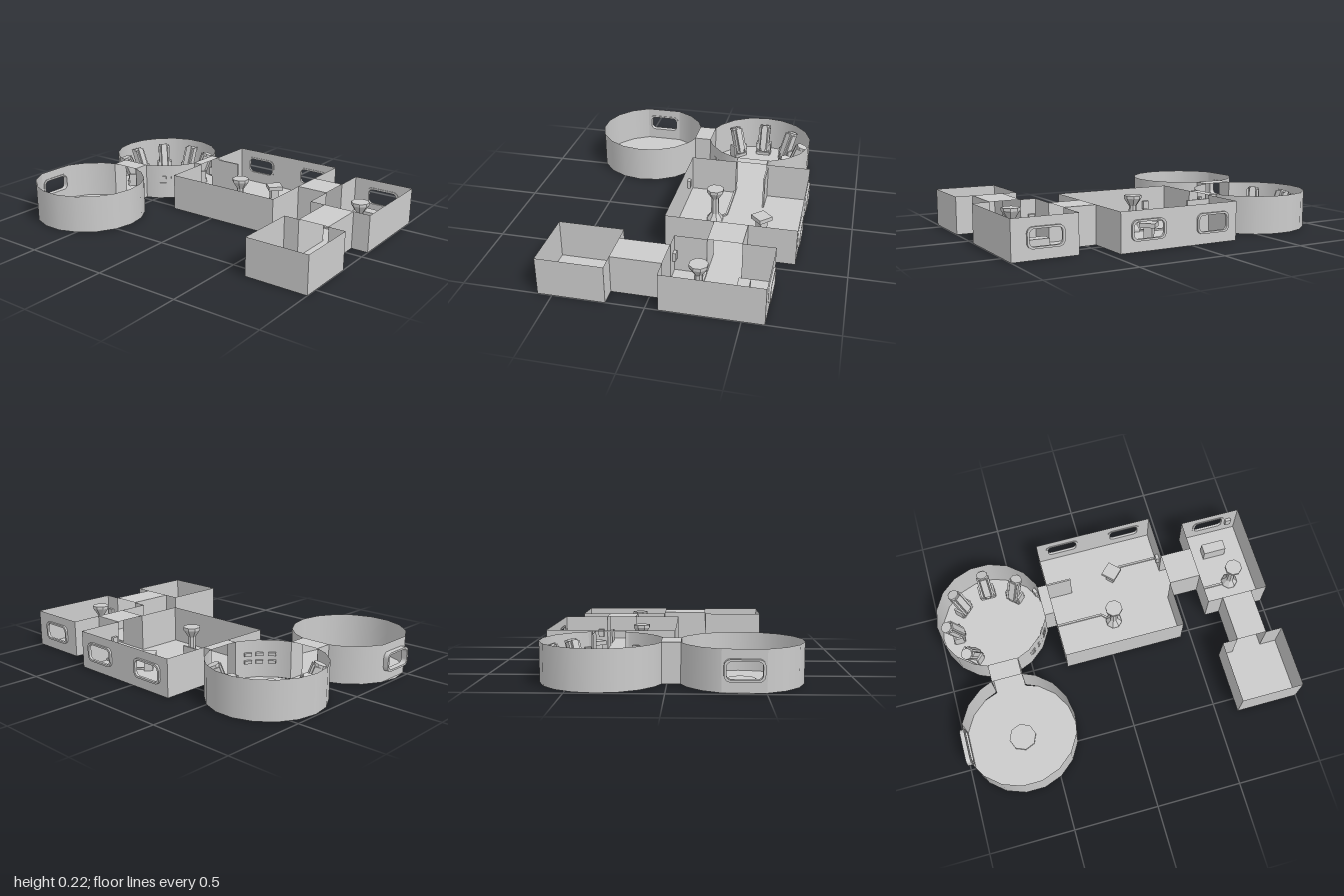
import * as THREE from 'three';

const H = 0.22, R = 0.33, RAD = Math.PI / 180;
const mat = new THREE.MeshStandardMaterial({ color: 0xcccccc, side: THREE.DoubleSide });
const flat = new THREE.MeshStandardMaterial({ color: 0xcccccc, side: THREE.DoubleSide, flatShading: true });

function add(parent, name, geo, x = 0, y = 0, z = 0, material = mat) {
  const m = new THREE.Mesh(geo, material);
  m.name = name;
  m.position.set(x, y, z);
  parent.add(m);
  return m;
}

// Rounded rectangle centred on (cx, cy)
function roundRect(C, cx, cy, w, h, r) {
  const p = new C(), a = w / 2 - r, b = h / 2 - r;
  p.absarc(cx + a, cy + b, r, 0, Math.PI / 2);
  p.absarc(cx - a, cy + b, r, Math.PI / 2, Math.PI);
  p.absarc(cx - a, cy - b, r, Math.PI, Math.PI * 1.5);
  p.absarc(cx + a, cy - b, r, Math.PI * 1.5, Math.PI * 2);
  p.closePath();
  return p;
}

// Thin upright wall between two floor points; windows are distances along it
function wall(parent, x0, z0, x1, z1, windows = [], depth = 0.012) {
  const g = new THREE.Group();
  g.name = 'wall';
  g.position.set(x0, 0, z0);
  g.rotation.y = -Math.atan2(z1 - z0, x1 - x0);
  parent.add(g);
  const L = Math.hypot(x1 - x0, z1 - z0);
  const s = new THREE.Shape([[0, 0], [L, 0], [L, H], [0, H]].map(p => new THREE.Vector2(...p)));
  for (const u of windows) {
    s.holes.push(roundRect(THREE.Path, u, 0.115, 0.18, 0.09, 0.025));
    const ring = roundRect(THREE.Shape, u, 0.115, 0.205, 0.112, 0.032);
    ring.holes.push(roundRect(THREE.Path, u, 0.115, 0.18, 0.09, 0.025));
    const geo = new THREE.ExtrudeGeometry(ring, { depth: depth + 0.004, bevelEnabled: false, curveSegments: 5 });
    add(g, 'windowFrame', geo, 0, 0, -0.004);
  }
  add(g, 'wallPanel', new THREE.ShapeGeometry(s, 5));
}

// Horizontal sheet
function sheet(parent, name, x0, x1, z0, z1, y) {
  const geo = new THREE.PlaneGeometry(x1 - x0, z1 - z0).rotateX(-Math.PI / 2);
  add(parent, name, geo, (x0 + x1) / 2, y, (z0 + z1) / 2);
}

function group(root, name) {
  const g = new THREE.Group();
  g.name = name;
  root.add(g);
  return g;
}

// Roofed passage, open at the two ends
function corridor(root, x0, x1, z0, z1, alongX) {
  const g = group(root, 'corridor');
  sheet(g, 'corridorFloor', x0, x1, z0, z1, 0);
  sheet(g, 'corridorRoof', x0, x1, z0, z1, H);
  if (alongX) for (const z of [z0, z1]) wall(g, x0, z, x1, z);
  else for (const x of [x0, x1]) wall(g, x, z0, x, z1);
}

// Round room: floor plus wall arcs in degrees measured from +z towards +x
function roundRoom(root, name, cx, cz, arcs) {
  const g = group(root, name);
  add(g, 'roundFloor', new THREE.CircleGeometry(R, 18).rotateX(-Math.PI / 2), cx, 0, cz);
  for (const [a, b] of arcs) {
    const n = Math.max(1, Math.round((b - a) / 20));
    const geo = new THREE.CylinderGeometry(R, R, H, n, 1, true, a * RAD, (b - a) * RAD);
    add(g, 'curvedWall', geo, cx, H / 2, cz);
  }
  return g;
}

// Octagonal column flared at foot and head
function pillar(parent, x, z) {
  const pts = [[0, 0], [0.05, 0], [0.05, 0.015], [0.025, 0.05], [0.022, 0.15], [0.052, 0.195], [0.052, 0.212], [0, 0.212]];
  const geo = new THREE.LatheGeometry(pts.map(p => new THREE.Vector2(...p)), 8).rotateY(Math.PI / 8);
  add(parent, 'pillar', geo, x, 0, z, flat);
}

// Floor cable laid along a list of points
function cable(parent, pts) {
  for (let i = 1; i < pts.length; i++) {
    const [ax, az] = pts[i - 1], [bx, bz] = pts[i];
    const geo = new THREE.BoxGeometry(Math.hypot(bx - ax, bz - az), 0.01, 0.012);
    add(parent, 'cable', geo, (ax + bx) / 2, 0.006, (az + bz) / 2).rotation.y = -Math.atan2(bz - az, bx - ax);
  }
}

const box = (parent, name, x, y, z, w, h, d) => add(parent, name, new THREE.BoxGeometry(w, h, d), x, y, z);

// Capsule leaning outwards in its cradle
function pod(parent, cx, cz, deg) {
  const g = group(parent, 'sleepPod');
  g.position.set(cx + 0.25 * Math.sin(deg * RAD), 0, cz + 0.25 * Math.cos(deg * RAD));
  g.rotation.y = deg * RAD;
  const lean = group(g, 'leaningCapsule');
  lean.position.y = 0.105;
  lean.rotation.x = 0.36;
  add(lean, 'capsule', new THREE.CylinderGeometry(0.035, 0.035, 0.18, 8).rotateY(Math.PI / 8), 0, 0, 0, flat);
  box(lean, 'capsuleDoor', 0, 0.005, -0.034, 0.04, 0.15, 0.012);
  for (const s of [-1, 1]) {
    box(lean, 'capsuleRail', s * 0.032, -0.005, -0.015, 0.012, 0.16, 0.03);
    box(g, 'cradleSide', s * 0.044, 0.04, -0.015, 0.012, 0.08, 0.055);
  }
  box(g, 'cradleBase', 0, 0.01, -0.015, 0.09, 0.02, 0.07);
}

export function createModel() {
  const root = new THREE.Group();
  root.name = 'baseLayout';

  // Main hall
  const hall = group(root, 'mainHall');
  sheet(hall, 'hallFloor', -0.29, 0.44, -0.71, 0.03, 0);
  wall(hall, 0.44, -0.71, -0.29, -0.71, [0.165, 0.57]);
  wall(hall, -0.29, 0.03, 0.44, 0.03);
  for (const x of [-0.29, 0.44]) {
    wall(hall, x, -0.71, x, -0.44);
    wall(hall, x, -0.25, x, 0.03);
  }
  pillar(hall, 0.065, -0.185);
  cable(hall, [[-0.29, -0.245], [0, -0.245], [0.04, -0.205]]);
  cable(hall, [[0.15, -0.49], [0.195, -0.535], [0.44, -0.535]]);
  box(hall, 'partition', -0.215, 0.1, -0.447, 0.15, 0.2, 0.01);
  box(hall, 'consoleBase', 0.13, 0.04, -0.475, 0.05, 0.08, 0.05).rotation.y = Math.PI / 4;
  box(hall, 'consoleTop', 0.13, 0.09, -0.475, 0.09, 0.025, 0.09).rotation.y = Math.PI / 4;
  box(hall, 'wallSwitch', 0.43, 0.11, -0.48, 0.02, 0.05, 0.035);
  box(hall, 'wallSwitch', -0.145, 0.11, 0.02, 0.035, 0.05, 0.02);

  // Side room with pillar and table
  const side = group(root, 'sideRoom');
  sheet(side, 'sideFloor', 0.63, 1, -0.62, -0.07, 0);
  wall(side, 1, -0.62, 0.63, -0.62, [0.185]);
  wall(side, 1, -0.62, 1, -0.07);
  wall(side, 0.63, -0.62, 0.63, -0.44);
  wall(side, 0.63, -0.25, 0.63, -0.07);
  pillar(side, 0.85, -0.25);
  cable(side, [[0.63, -0.245], [0.81, -0.245]]);
  box(side, 'table', 0.81, 0.04, -0.475, 0.14, 0.08, 0.065);
  for (const [x, z] of [[0.66, -0.08], [0.96, -0.08], [0.945, -0.61]])
    box(side, 'wallSwitch', x, 0.11, z, 0.035, 0.05, 0.018);

  // Small square room
  const store = group(root, 'storeRoom');
  sheet(store, 'storeFloor', 0.63, 1, 0.21, 0.58, 0);
  wall(store, 0.63, 0.58, 1, 0.58);
  for (const x of [0.63, 1]) wall(store, x, 0.21, x, 0.58);

  // Doorway cheeks shared by the side room and the store room
  for (const [g, z] of [[side, -0.07], [store, 0.21]]) {
    wall(g, 0.63, z, 0.72, z);
    wall(g, 0.9, z, 1, z);
  }

  // Round room with sleeping pods
  const cx = -0.66, podZ = -0.345, deckZ = 0.39;
  const pods = roundRoom(root, 'podRoom', cx, podZ, [[16, 30], [30, 70], [110, 330], [330, 344]]);
  const edge = R * Math.cos(20 * RAD), half = R * Math.sin(20 * RAD);
  for (const s of [-1, 1]) wall(pods, cx + edge, podZ + s * 0.095, cx + edge, podZ + s * half);
  for (const a of [135, 180, 225, 270, 315]) pod(pods, cx, podZ, a);
  for (const a of [35, 48, 60]) for (const y of [0.095, 0.14]) {
    const m = box(pods, 'wallLocker', cx + 0.318 * Math.sin(a * RAD), y, podZ + 0.318 * Math.cos(a * RAD), 0.042, 0.018, 0.022);
    m.rotation.y = a * RAD;
  }
  box(pods, 'wallSwitch', -0.368, 0.11, -0.46, 0.035, 0.05, 0.02).rotation.y = 112 * RAD;

  // Round observation room
  const deck = roundRoom(root, 'observationRoom', cx, deckZ, [[-70, 150], [150, 164], [196, 210], [210, 250]]);
  wall(deck, cx - edge, deckZ - half, cx - edge, deckZ + half, [half], 0.03);
  add(deck, 'floorDisc', new THREE.CylinderGeometry(0.08, 0.08, 0.015, 8), cx, 0.0085, deckZ, flat);

  // Passages
  corridor(root, -0.35, -0.29, -0.44, -0.25, true);
  corridor(root, 0.44, 0.63, -0.44, -0.25, true);
  corridor(root, 0.72, 0.9, -0.07, 0.21, false);
  corridor(root, -0.75, -0.57, -0.03, 0.075, false);
  return root;
}
